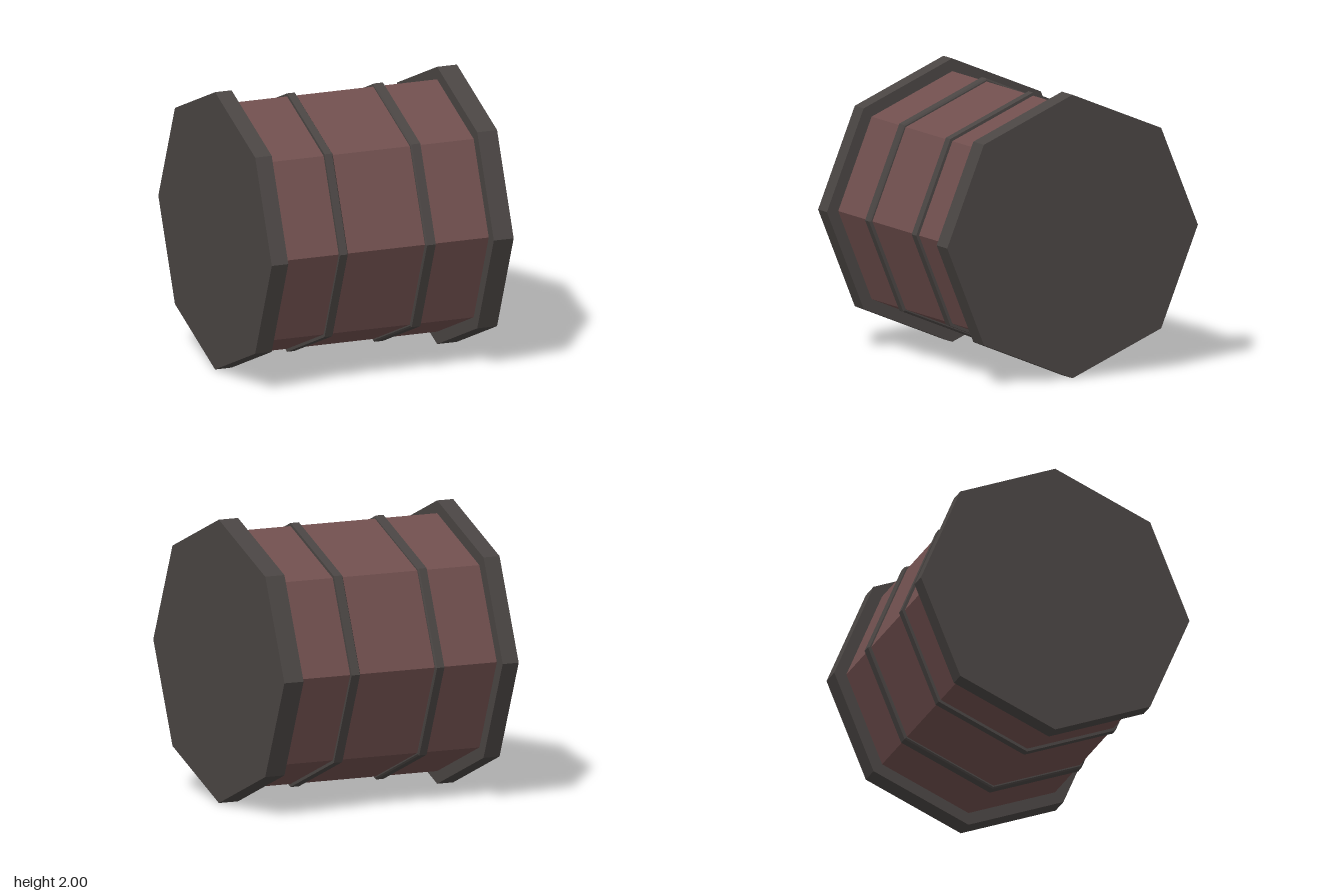
import * as THREE from 'three';

const SIDES = 8;

export function createModel() {
  const model = new THREE.Group();
  const wood = new THREE.MeshStandardMaterial({ color: 0x704f4e, flatShading: true });
  wood.name = 'reddish wood';
  const iron = new THREE.MeshStandardMaterial({ color: 0x4a4543, flatShading: true });
  iron.name = 'dark iron';

  // Turns a profile of [radius, x] points into an octagonal solid lying along x
  function addPart(name, material, profile) {
    const points = profile.map(([r, x]) => new THREE.Vector2(r, x));
    const geometry = new THREE.LatheGeometry(points, SIDES);
    geometry.rotateZ(-Math.PI / 2);
    const mesh = new THREE.Mesh(geometry, material);
    mesh.name = name;
    mesh.position.y = 1;
    model.add(mesh);
  }

  // Octagonal barrel body
  addPart('barrelBody', wood, [[0, -0.85], [0.91, -0.85], [0.91, 0.85], [0, 0.85]]);

  // Thick end caps
  const caps = [['rightEndCap', -0.915, -0.79], ['leftEndCap', 0.765, 0.915]];
  for (const [name, x0, x1] of caps) {
    addPart(name, iron, [[0, x0], [1, x0], [1, x1], [0, x1]]);
  }

  // Thin hoops, each with a small chamfer on the inner edge
  addPart('rightHoop', iron, [[0.88, -0.37], [0.932, -0.37], [0.932, -0.313], [0.92, -0.305], [0.88, -0.305]]);
  addPart('leftHoop', iron, [[0.88, 0.282], [0.92, 0.282], [0.932, 0.29], [0.932, 0.355], [0.88, 0.355]]);

  return model;
}
